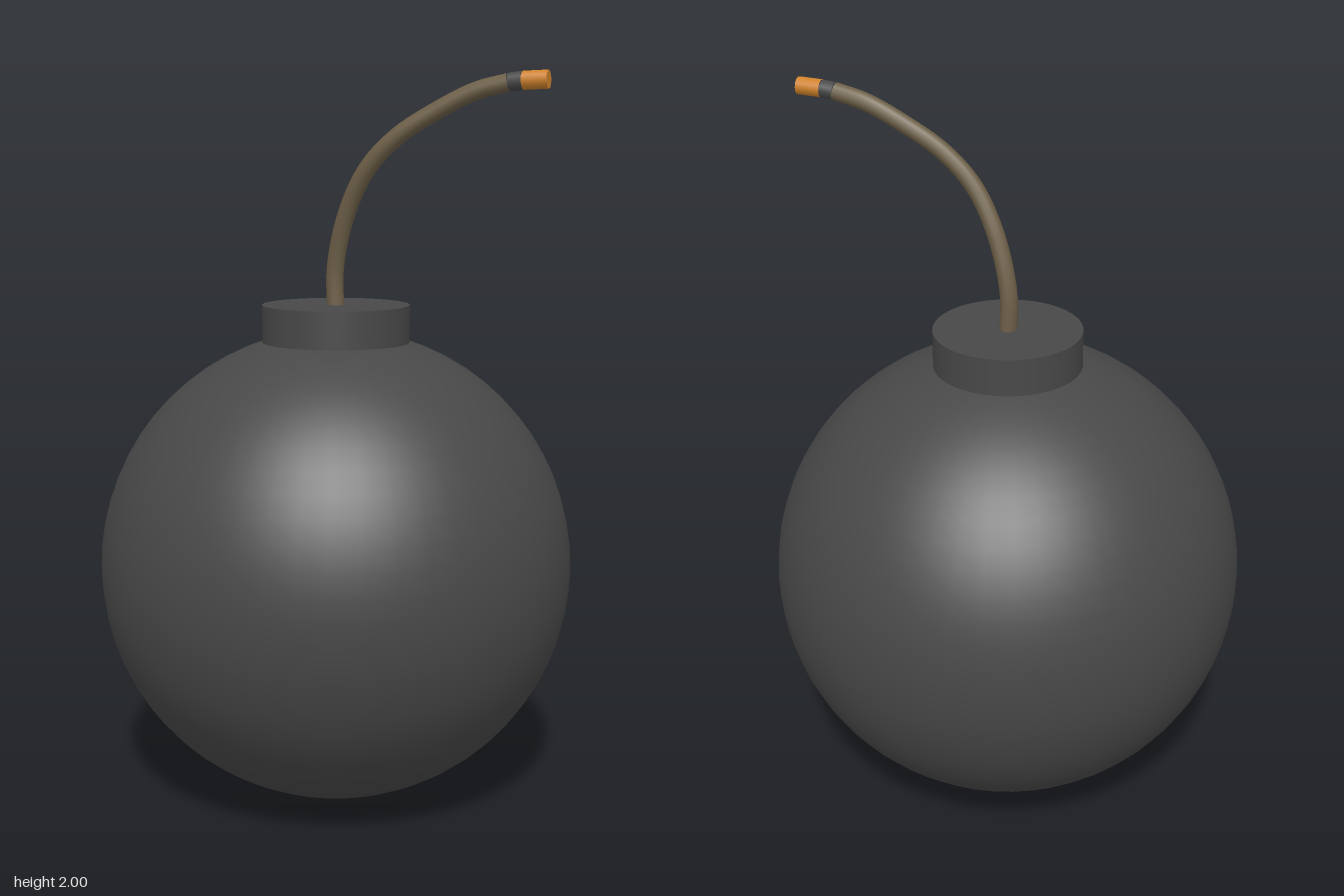
import * as THREE from 'three';

const material = (name, color) => {
  const m = new THREE.MeshStandardMaterial({ color });
  m.name = name;
  return m;
};

export function createModel() {
  const group = new THREE.Group();
  const iron = material('dark iron', 0x484848);
  const cord = material('fuse cord', 0x6e6048);
  const ember = material('ember orange', 0xd0822a);

  const add = (name, geometry, mat, y = 0) => {
    const mesh = new THREE.Mesh(geometry, mat);
    mesh.name = name;
    mesh.position.y = y;
    group.add(mesh);
    return mesh;
  };

  // Round body and short collar
  add('body', new THREE.SphereGeometry(0.655, 48, 32), iron, 0.655);
  add('collar', new THREE.CylinderGeometry(0.203, 0.203, 0.2, 48), iron, 1.28);

  // Curved fuse, split along its length into cord, charred band and glowing tip
  const radius = 0.024;
  const fuse = (points) => new THREE.CatmullRomCurve3(points.map((p) => new THREE.Vector3(...p)));
  const cordPath = fuse([
    [0, 1.35, 0], [0, 1.48, 0.003], [0.045, 1.63, 0.01], [0.115, 1.75, 0.01],
    [0.2, 1.835, -0.01], [0.3, 1.9, -0.045], [0.4, 1.95, -0.079], [0.485, 1.971, -0.104],
  ]);
  add('fuseCord', new THREE.TubeGeometry(cordPath, 40, radius, 12), cord);
  const charPath = fuse([[0.485, 1.971, -0.104], [0.52, 1.975, -0.114]]);
  add('charredBand', new THREE.TubeGeometry(charPath, 2, radius, 12), iron);
  const tipPath = fuse([[0.52, 1.975, -0.114], [0.585, 1.977, -0.133]]);
  add('glowingTip', new THREE.TubeGeometry(tipPath, 2, radius, 12), ember);

  // Flat end of the tip
  const end = add('tipEnd', new THREE.CircleGeometry(radius, 12), ember);
  end.position.copy(tipPath.getPoint(1));
  end.quaternion.setFromUnitVectors(new THREE.Vector3(0, 0, 1), tipPath.getTangent(1));

  return group;
}
